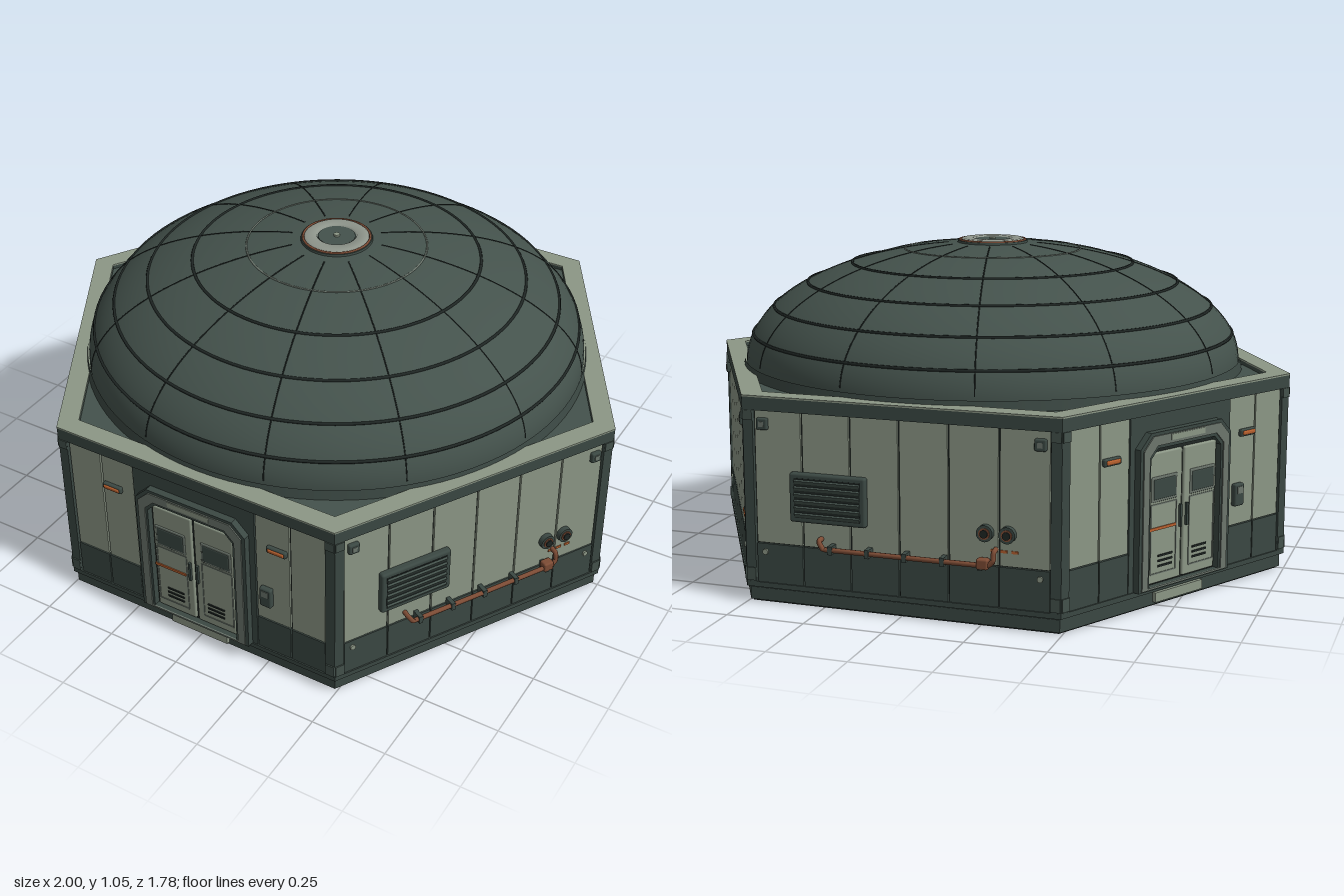
import * as THREE from 'three';
import { RoundedBoxGeometry } from 'three/addons/geometries/RoundedBoxGeometry.js';

const mat = (name, color, side = THREE.FrontSide) => {
  const m = new THREE.MeshStandardMaterial({ color, side });
  m.name = name;
  return m;
};

export function createModel() {
  const light = mat('paleGreyGreen', 0x8c9786);
  const dark = mat('darkGreen', 0x44524c);
  const trim = mat('deepGreen', 0x3b4843);
  const seam = mat('seamBlack', 0x1f2624);
  const mid = mat('midGrey', 0x6c766d);
  const orange = mat('signalOrange', 0xb8602e);
  const copper = mat('copper', 0x7d4c35);

  const model = new THREE.Group();
  model.name = 'domedBunker';

  const add = (parent, name, geo, material, x = 0, y = 0, z = 0) => {
    const mesh = new THREE.Mesh(geo, material);
    mesh.name = name;
    mesh.position.set(x, y, z);
    parent.add(mesh);
    return mesh;
  };
  const box = (parent, name, material, w, h, d, x, y, z) =>
    add(parent, name, new THREE.BoxGeometry(w, h, d), material, x, y, z);

  // Hexagonal slab with corners on the x axis and an optional hexagonal hole
  const hexPoints = (r) => Array.from({ length: 6 }, (_, i) =>
    new THREE.Vector2(r * Math.cos(i * Math.PI / 3), r * Math.sin(i * Math.PI / 3)));
  const hex = (name, material, r, y0, y1, hole) => {
    const shape = new THREE.Shape(hexPoints(r));
    if (hole) shape.holes.push(new THREE.Path(hexPoints(hole)));
    const geo = new THREE.ExtrudeGeometry(shape, { depth: y1 - y0, bevelEnabled: false });
    geo.rotateX(-Math.PI / 2);
    return add(model, name, geo, material, 0, y0, 0);
  };

  // Body
  hex('underside', seam, 0.975, 0, 0.006);
  hex('plinth', trim, 0.985, 0.006, 0.045);
  hex('plinthGroove', seam, 0.975, 0.045, 0.05);
  hex('plinthLip', trim, 0.998, 0.05, 0.066);
  hex('wallCore', seam, 0.982, 0.06, 0.61);
  hex('roofDeck', dark, 0.95, 0.6, 0.628);
  hex('parapet', trim, 0.999, 0.6, 0.64, 0.925);
  hex('parapetCap', light, 1.0, 0.64, 0.645, 0.925);

  // Dome
  const A = 0.82, B = 0.385, Y0 = 0.65;
  const domePoint = (t, grow = 0) => new THREE.Vector2((A + grow) * Math.cos(t), Y0 + (B + grow) * Math.sin(t));
  const profile = [new THREE.Vector2(A, 0.62)];
  for (let i = 0; i <= 32; i++) profile.push(domePoint(i / 32 * Math.PI / 2));
  profile[profile.length - 1].x = 0;
  add(model, 'dome', new THREE.LatheGeometry(profile, 96), dark);
  add(model, 'domeCollar', new THREE.CylinderGeometry(0.824, 0.832, 0.035, 96, 1, true), trim, 0, 0.642, 0);
  const step = Math.PI / 13;
  for (let k = 1; k <= 5; k++) {
    const p = domePoint(k * step);
    const ring = add(model, 'domeRingSeam', new THREE.TorusGeometry(p.x, k === 5 ? 0.003 : 0.005, 6, 96), k === 5 ? mid : seam, 0, p.y, 0);
    ring.rotation.x = Math.PI / 2;
  }
  const arc = new THREE.CatmullRomCurve3(Array.from({ length: 14 }, (_, i) => {
    const p = domePoint(0.05 + i / 13 * 1.34);
    return new THREE.Vector3(0, p.y, p.x);
  }));
  const ribGeo = new THREE.TubeGeometry(arc, 32, 0.0022, 5);
  for (let i = 0; i < 12; i++) add(model, 'domeRibSeam', ribGeo, seam).rotation.y = (i + 0.5) * Math.PI / 6;

  // Hub on top of the dome
  add(model, 'hubBase', new THREE.CylinderGeometry(0.115, 0.12, 0.02, 48), trim, 0, 1.028, 0);
  const hubRing = [[0.06, 1.03], [0.065, 1.045], [0.098, 1.045], [0.108, 1.036]].map(([x, y]) => new THREE.Vector2(x, y));
  add(model, 'hubRing', new THREE.LatheGeometry(hubRing.reverse(), 48), mat('hubGrey', 0x8f968c, THREE.DoubleSide));
  add(model, 'hubOrangeRing', new THREE.TorusGeometry(0.108, 0.004, 6, 48), copper, 0, 1.039, 0).rotation.x = Math.PI / 2;
  add(model, 'hubCentre', new THREE.CylinderGeometry(0.06, 0.06, 0.01, 32), dark, 0, 1.036, 0);
  add(model, 'hubPin', new THREE.CylinderGeometry(0.01, 0.01, 0.008, 12), light, 0, 1.043, 0);

  // Wall cladding between x0 and x1: pale upper panels, dark lower band
  const W = 0.85;
  const cladding = (f, x0, x1, count) => {
    const w = (x1 - x0) / count;
    for (let i = 0; i < count; i++) {
      const x = x0 + (i + 0.5) * w;
      box(f, 'wallPanel', light, w - 0.006, 0.41, 0.01, x, 0.396, W + 0.003);
      box(f, 'lowerPanel', trim, w - 0.004, 0.122, 0.014, x, 0.127, W + 0.003);
    }
  };

  // Opening outline with chamfered top corners
  const outline = (Type, w, y0, y1, c) => {
    const p = [[-w, y0], [w, y0], [w, y1 - c], [w - c, y1], [-w + c, y1], [-w, y1 - c]];
    return new Type(p.map(([x, y]) => new THREE.Vector2(x, y)));
  };

  const doorWall = (f) => {
    cladding(f, -0.465, -0.22, 2);
    cladding(f, 0.22, 0.465, 2);
    box(f, 'doorSurround', trim, 0.44, 0.545, 0.014, 0, 0.333, W + 0.004);
    const frame = outline(THREE.Shape, 0.2, 0.066, 0.55, 0.045);
    frame.holes.push(outline(THREE.Path, 0.155, 0.075, 0.5, 0.03));
    add(f, 'doorFrame', new THREE.ExtrudeGeometry(frame, { depth: 0.026, bevelEnabled: false }), trim, 0, 0, W + 0.008);
    const face = outline(THREE.Shape, 0.188, 0.07, 0.54, 0.04);
    face.holes.push(outline(THREE.Path, 0.163, 0.066 + 0.01, 0.51, 0.033));
    add(f, 'doorFrameFace', new THREE.ExtrudeGeometry(face, { depth: 0.005, bevelEnabled: false }), mid, 0, 0, W + 0.033);
    box(f, 'doorHeader', light, 0.15, 0.018, 0.008, 0, 0.528, W + 0.036);
    box(f, 'doorGap', seam, 0.308, 0.42, 0.004, 0, 0.285, W + 0.011);
    for (const s of [-1, 1]) {
      const x = s * 0.076;
      add(f, 'doorLeaf', new RoundedBoxGeometry(0.144, 0.405, 0.014, 2, 0.006), light, x, 0.282, W + 0.015);
      add(f, 'doorWindowFrame', new RoundedBoxGeometry(0.11, 0.078, 0.008, 2, 0.003), mid, x + s * 0.008, 0.372, W + 0.021);
      add(f, 'doorWindow', new RoundedBoxGeometry(0.096, 0.062, 0.008, 2, 0.003), trim, x + s * 0.008, 0.372, W + 0.023);
      // Recess lines and louvres on the lower half of the leaf
      for (const y of [0.11, 0.325]) box(f, 'doorLine', mid, 0.11, 0.004, 0.004, x + s * 0.008, y, W + 0.022);
      for (const dx of [-0.055, 0.055]) box(f, 'doorLine', mid, 0.004, 0.215, 0.004, x + s * 0.008 + dx, 0.2175, W + 0.022);
      for (let i = 0; i < 3; i++) box(f, 'doorLouvre', seam, 0.062, 0.006, 0.006, x, 0.132 + i * 0.016, W + 0.022);
      box(f, 'doorHandle', trim, 0.008, 0.07, 0.012, s * 0.014, 0.275, W + 0.024);
      add(f, 'lampHousing', new RoundedBoxGeometry(0.07, 0.024, 0.016, 2, 0.006), trim, s * 0.3, 0.485, W + 0.014);
      add(f, 'lamp', new RoundedBoxGeometry(0.058, 0.014, 0.016, 2, 0.005), orange, s * 0.3, 0.485, W + 0.018);
    }
    box(f, 'doorStripe', orange, 0.115, 0.009, 0.005, -0.09, 0.25, W + 0.0225);
    add(f, 'keypad', new RoundedBoxGeometry(0.042, 0.072, 0.02, 2, 0.006), trim, 0.26, 0.29, W + 0.016);
    box(f, 'keypadScreen', mid, 0.024, 0.022, 0.004, 0.26, 0.306, W + 0.026);
    box(f, 'threshold', light, 0.21, 0.03, 0.02, 0, 0.03, W + 0.005);
  };

  const plainWall = (f) => {
    cladding(f, -0.465, 0.465, 6);
    for (const s of [-1, 1]) {
      add(f, 'cornerBracket', new RoundedBoxGeometry(0.036, 0.036, 0.018, 2, 0.005), trim, s * 0.435, 0.56, W + 0.012);
      box(f, 'bracketFace', mid, 0.016, 0.016, 0.004, s * 0.435, 0.56, W + 0.021);
      add(f, 'lowerBolt', new THREE.CylinderGeometry(0.009, 0.009, 0.008, 10), light, s * 0.435, 0.163, W + 0.012).rotation.x = Math.PI / 2;
    }
    for (const x of [0.295, 0.325, 0.358]) box(f, 'warningMark', orange, 0.02, 0.008, 0.004, x, 0.235, W + 0.009);
  };

  const serviceWall = (f) => {
    plainWall(f);
    // Louvred vent
    add(f, 'ventBox', new RoundedBoxGeometry(0.245, 0.152, 0.026, 2, 0.008), trim, -0.222, 0.345, W + 0.016);
    box(f, 'ventRecess', seam, 0.212, 0.122, 0.004, -0.222, 0.345, W + 0.028);
    for (let i = 0; i < 6; i++) box(f, 'ventSlat', dark, 0.21, 0.011, 0.01, -0.222, 0.294 + i * 0.0204, W + 0.029).rotation.x = 0.5;
    // Pipe run with clamps
    const path = new THREE.CurvePath();
    const pts = [[-0.25, 0.22, 0.008], [-0.25, 0.217, 0.032], [-0.235, 0.195, 0.034], [0.285, 0.195, 0.034], [0.3, 0.21, 0.034], [0.3, 0.236, 0.03], [0.3, 0.24, 0.008]]
      .map(([x, y, z]) => new THREE.Vector3(x, y, W + z));
    for (let i = 1; i < pts.length; i++) path.add(new THREE.LineCurve3(pts[i - 1], pts[i]));
    add(f, 'pipe', new THREE.TubeGeometry(path, 90, 0.008, 8), copper);
    for (let i = 0; i < 5; i++) box(f, 'pipeClamp', trim, 0.014, 0.026, 0.036, -0.21 + i * 0.118, 0.195, W + 0.025);
    add(f, 'pipeValve', new RoundedBoxGeometry(0.036, 0.032, 0.03, 2, 0.006), copper, 0.268, 0.2, W + 0.03);
    // Pair of round connectors
    for (const x of [0.27, 0.338]) {
      const place = (name, r, d, m, z) =>
        add(f, name, new THREE.CylinderGeometry(r, r, d, 20), m, x, 0.288, W + z).rotation.x = Math.PI / 2;
      place('connectorFlange', 0.025, 0.02, trim, 0.016);
      place('connectorRing', 0.017, 0.01, copper, 0.024);
      place('connectorCap', 0.012, 0.014, seam, 0.026);
    }
  };

  // Six walls, counted from the front towards the model's left
  const walls = [doorWall, serviceWall, plainWall, serviceWall, doorWall, serviceWall];
  walls.forEach((build, i) => {
    const f = new THREE.Group();
    f.name = 'wall' + (i + 1);
    f.rotation.y = i * Math.PI / 3;
    model.add(f);
    build(f);
    for (const s of [-1, 1]) {
      box(f, 'cornerPost', trim, 0.032, 0.55, 0.016, s * 0.4825, 0.335, W + 0.006);
      box(f, 'postFoot', dark, 0.03, 0.04, 0.006, s * 0.482, 0.09, W + 0.015);
      box(f, 'postHead', dark, 0.03, 0.03, 0.006, s * 0.482, 0.585, W + 0.015);
    }
  });
  return model;
}
